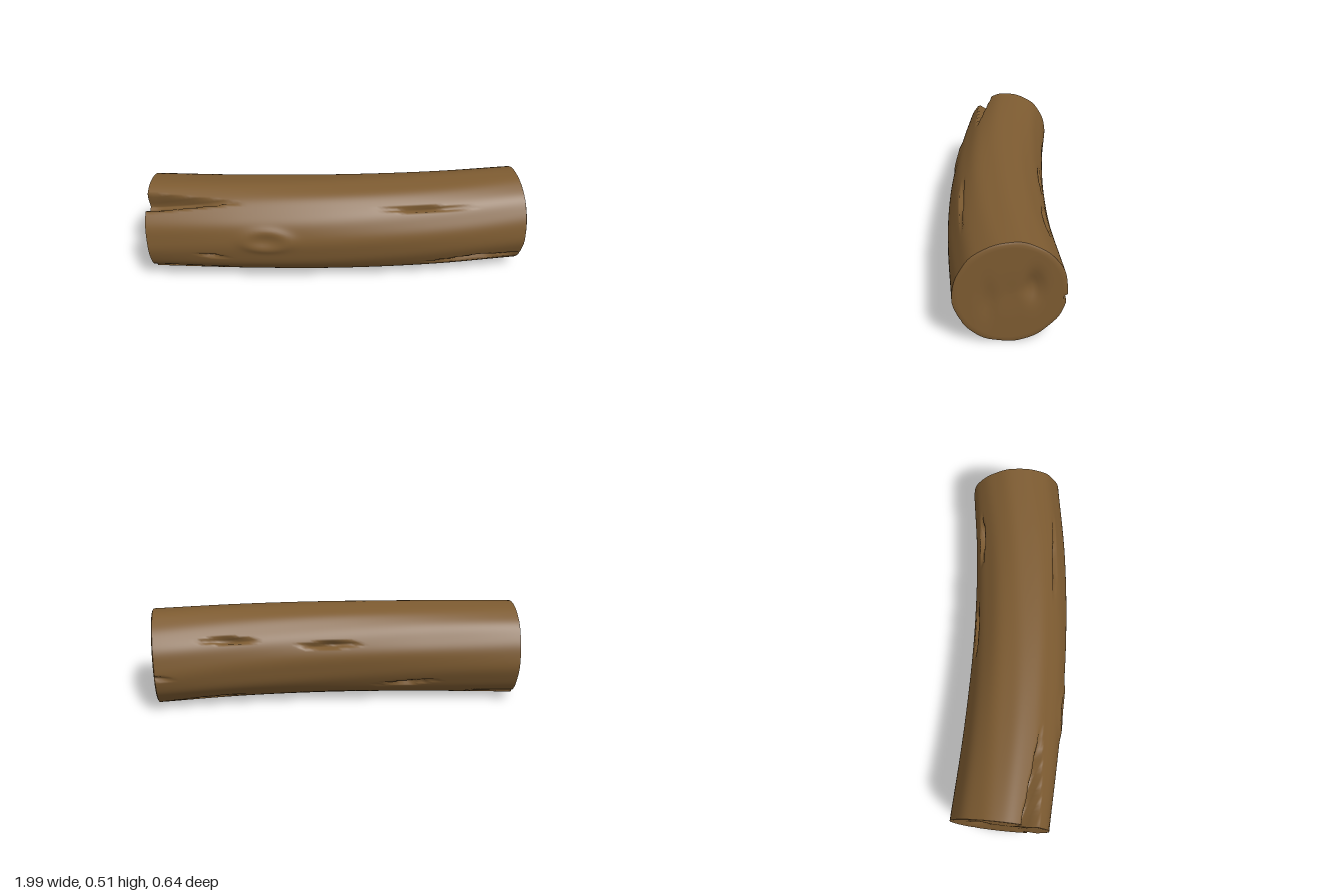
import * as THREE from 'three';

const RADIUS = 0.253, SIDES = 144, STEPS = 80;

// Cracks in the bark: [angle from front towards top, start x, end x, half width in radians, depth, slant]
const CRACKS = [
  [0.92, -1.5, -0.5, 0.19, 0.09, 0.1],
  [-0.8, -1.4, -0.55, 0.13, 0.07, 0],
  [0.76, 0.13, 0.69, 0.055, 0.025, -0.04],
  [-0.57, 0.42, 0.98, 0.1, 0.04, 0.08],
  [-0.24, -0.78, -0.56, 0.05, 0.015, -0.1],
  [2.75, -0.2, 0.24, 0.08, 0.035, 0.05],
  [2.58, 0.36, 0.76, 0.08, 0.035, -0.05],
  [-2.15, 0.4, 0.96, 0.06, 0.03, 0.25],
  [-2.6, -0.6, -0.22, 0.06, 0.025, 0.15],
  [-2.2, -1.2, -0.68, 0.07, 0.03, 0],
  [3.3, 0.82, 1.2, 0.09, 0.025, 0],
];

const spine = new THREE.CatmullRomCurve3([
  [-1, 0.042], [-0.5, 0.055], [0, 0.045], [0.5, 0], [0.943, -0.072],
].map(([x, z]) => new THREE.Vector3(x, 0.257, z)));

const angleGap = (a, b) => Math.atan2(Math.sin(a - b), Math.cos(a - b));

// Bark radius: a round trunk with faint grain, a knot and wedge-shaped cracks
function barkRadius(a, x) {
  let r = RADIUS + 0.0015 * Math.sin(7 * a + 2 * x) + 0.001 * Math.sin(13 * a - 3 * x);
  const knot = Math.hypot((x + 0.38) / 0.13, angleGap(a, 0.15) / 0.25);
  r += 0.008 * Math.exp(-((knot - 0.8) ** 2) * 8) - 0.006 * Math.exp(-knot * knot * 6);
  let cut = 0;
  for (const [angle, x0, x1, width, depth, slant] of CRACKS) {
    const t = (x - x0) / (x1 - x0);
    if (t <= 0 || t >= 1) continue;
    const half = width * Math.min(1, 2.2 * Math.min(t, 1 - t));
    const gap = Math.abs(angleGap(a, angle + slant * (t - 0.5)));
    if (gap < half) cut = Math.max(cut, depth * (half / width) * Math.min(1, 2 * (1 - gap / half)));
  }
  return r - cut;
}

// Shallow dents in the sawn faces, in face coordinates (across, up)
function faceDent(u, v) {
  const dent = (cu, cv, su, sv) => Math.exp(-(((u - cu) / su) ** 2) - ((v - cv) / sv) ** 2);
  return 0.025 * dent(-0.1, 0.03, 0.035, 0.07) + 0.01 * dent(0.1, -0.03, 0.03, 0.09)
    + 0.004 * dent(0, 0, 0.07, 0.07);
}

// Closed grid from a list of rings, each a function of angle giving a point
function ringGeometry(rings) {
  const points = [], index = [];
  for (const ring of rings) {
    for (let j = 0; j < SIDES; j++) points.push(...ring((j / SIDES) * Math.PI * 2).toArray());
  }
  for (let i = 0; i < rings.length - 1; i++) {
    for (let j = 0; j < SIDES; j++) {
      const k = (j + 1) % SIDES;
      const a = i * SIDES + j, b = i * SIDES + k, c = a + SIDES, d = b + SIDES;
      index.push(a, b, c, b, d, c);
    }
  }
  const geometry = new THREE.BufferGeometry();
  geometry.setAttribute('position', new THREE.Float32BufferAttribute(points, 3));
  geometry.setIndex(index);
  geometry.computeVertexNormals();
  return geometry;
}

// A point on the cross-section at t along the spine; scale shrinks it, push moves it along the spine
function sectionPoint(t, a, scale = 1, push = 0) {
  const centre = spine.getPoint(t);
  const tangent = spine.getTangent(t);
  tangent.z = Math.min(tangent.z, 0);
  tangent.normalize();
  const r = Math.min(barkRadius(a, centre.x), RADIUS * scale + (scale === 1 ? 0.02 : 0));
  const u = r * Math.cos(a), v = r * Math.sin(a) * 1.005;
  const dent = scale < 0.97 ? faceDent(u, v) : 0;
  const along = push - Math.sign(push) * dent;
  return new THREE.Vector3(
    centre.x - tangent.z * u + tangent.x * along,
    centre.y + v,
    centre.z + tangent.x * u + tangent.z * along,
  );
}

export function createModel() {
  const group = new THREE.Group();
  group.name = 'log';
  const wood = new THREE.MeshStandardMaterial({ color: 0x7d5b31, side: THREE.DoubleSide });
  wood.name = 'brown wood';

  const addPart = (name, rings) => {
    const mesh = new THREE.Mesh(ringGeometry(rings), wood);
    mesh.name = name;
    group.add(mesh);
  };

  // Bent trunk
  const trunk = [];
  for (let i = 0; i <= STEPS; i++) trunk.push((a) => sectionPoint(i / STEPS, a));
  addPart('trunk', trunk);

  // Sawn end faces with a softened rim
  const scales = [1, 0.96, 0.9, 0.8, 0.7, 0.6, 0.5, 0.4, 0.3, 0.2, 0.1, 0];
  const face = (t, push) => scales.map((s, i) => (a) => sectionPoint(t, a, s, i ? push : 0));
  addPart('rightEnd', face(1, 0.005));
  addPart('leftEnd', face(0, -0.002).reverse());
  return group;
}
